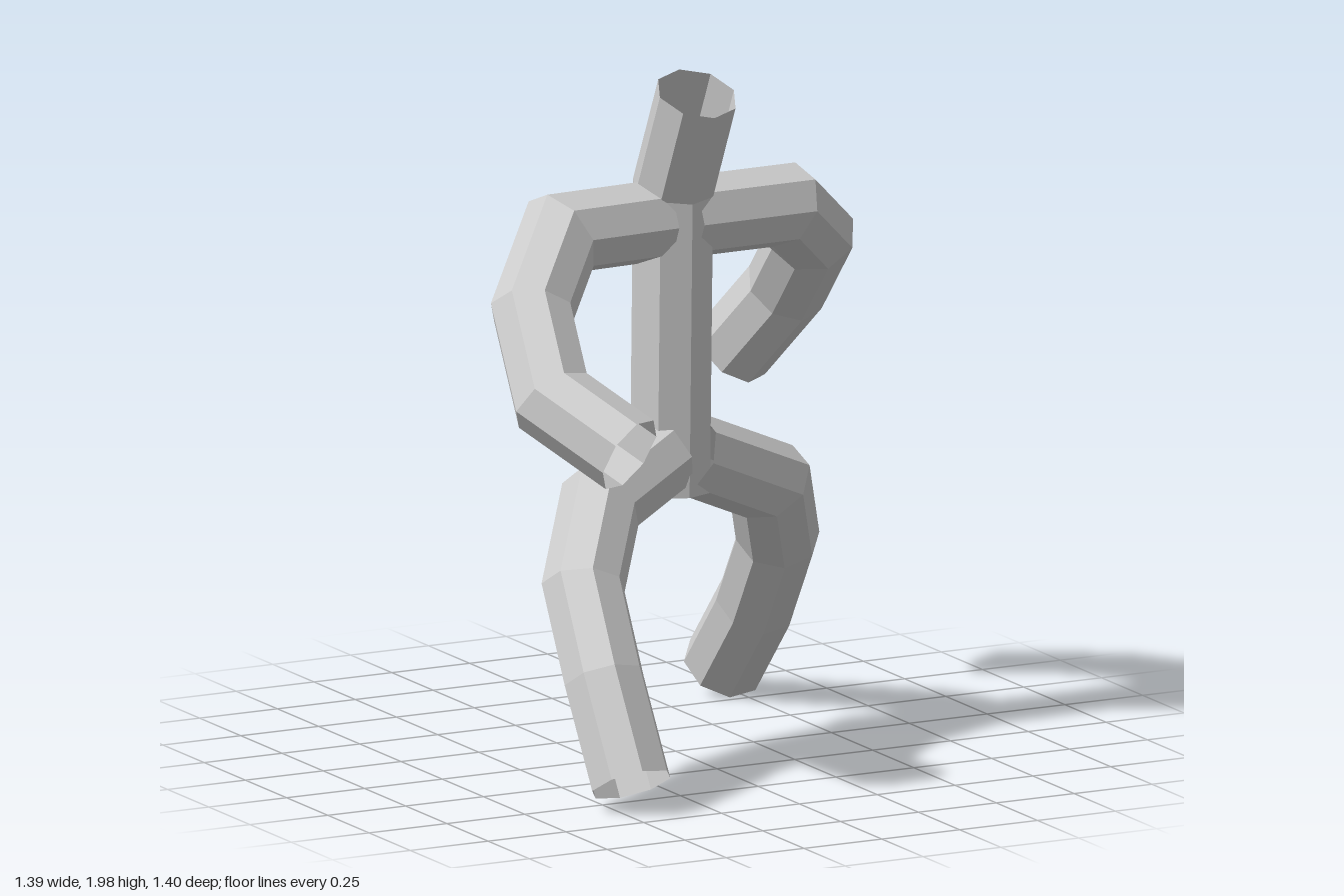
import * as THREE from 'three';

const RADIUS = 0.119, SIDES = 8;

// Open octagonal tube along a polyline, with mitred joints.
function mitredTube(path) {
  const pts = path.map(p => new THREE.Vector3(...p));
  const dirs = pts.slice(1).map((p, i) => p.clone().sub(pts[i]).normalize());
  const side = new THREE.Vector3(0, 0, 1);
  side.addScaledVector(dirs[0], -side.dot(dirs[0])).normalize();
  const up = new THREE.Vector3().crossVectors(dirs[0], side);

  // First ring is square to the path; each next ring slides onto its joint plane.
  let ring = [];
  for (let i = 0; i < SIDES; i++) {
    const a = (i / SIDES) * Math.PI * 2;
    ring.push(pts[0].clone()
      .addScaledVector(side, Math.cos(a) * RADIUS)
      .addScaledVector(up, Math.sin(a) * RADIUS));
  }
  const rings = [ring];
  dirs.forEach((d, k) => {
    const normal = d.clone().add(dirs[k + 1] ?? d).normalize();
    ring = ring.map(v => v.clone().addScaledVector(
      d, pts[k + 1].clone().sub(v).dot(normal) / d.dot(normal)));
    rings.push(ring);
  });

  const index = [];
  for (let k = 0; k < dirs.length; k++) {
    for (let i = 0; i < SIDES; i++) {
      const j = (i + 1) % SIDES;
      const a = k * SIDES + i, b = k * SIDES + j;
      index.push(a, b, b + SIDES, a, b + SIDES, a + SIDES);
    }
  }
  const geometry = new THREE.BufferGeometry().setFromPoints(rings.flat());
  geometry.setIndex(index);
  geometry.computeVertexNormals();
  return geometry;
}

export function createModel() {
  const group = new THREE.Group();
  const material = new THREE.MeshStandardMaterial({
    color: 0xcccccc, flatShading: true, side: THREE.DoubleSide,
  });

  // Centre lines of the striding figure
  const parts = {
    torsoAndHead: [[0, 0.77, -0.035], [0.01, 1.65, -0.035], [0.015, 1.95, 0.1]],
    leftArm: [[0.04, 1.56, -0.035], [0.38, 1.555, -0.06], [0.55, 1.42, -0.21],
      [0.575, 1.22, -0.42], [0.49, 1.01, -0.59]],
    rightArm: [[-0.04, 1.56, -0.035], [-0.36, 1.56, -0.015], [-0.53, 1.38, 0.13],
      [-0.575, 1.17, 0.34], [-0.45, 1.045, 0.57]],
    leftLeg: [[0.04, 0.88, -0.015], [0.36, 0.74, -0.11], [0.465, 0.54, -0.26],
      [0.485, 0.31, -0.43], [0.477, 0.09, -0.615]],
    rightLeg: [[-0.04, 0.88, -0.01], [-0.29, 0.785, 0.09], [-0.43, 0.59, 0.25],
      [-0.458, 0.36, 0.43], [-0.458, 0.09, 0.595]],
  };
  for (const [name, path] of Object.entries(parts)) {
    const mesh = new THREE.Mesh(mitredTube(path), material);
    mesh.name = name;
    group.add(mesh);
  }
  return group;
}
